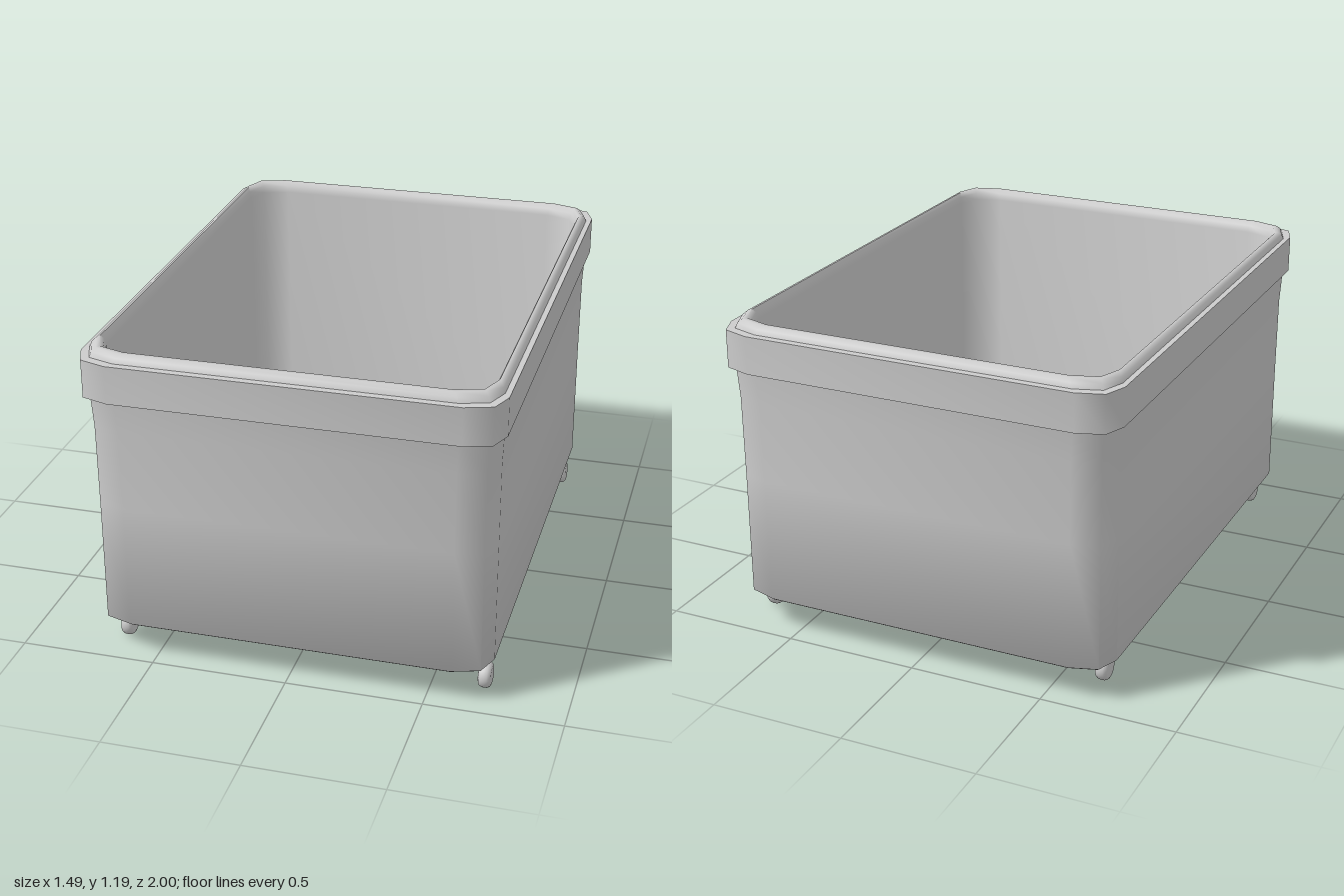
import * as THREE from 'three';
import { toCreasedNormals } from 'three/addons/utils/BufferGeometryUtils.js';

const material = new THREE.MeshStandardMaterial({ color: 0xcccccc });

// Rectangle with two-facet corners, walked from +x towards +z
function ring(hx, hz, y) {
  const cx = hx ? 0.13 : 0, cz = hz ? 0.115 : 0;
  const corner = [[hx, hz - cz], [hx - 0.25 * cx, hz - 0.27 * cz], [hx - cx, hz]];
  const points = [];
  for (const [sx, sz] of [[1, 1], [-1, 1], [-1, -1], [1, -1]]) {
    const ordered = sx * sz > 0 ? corner : [...corner].reverse();
    for (const [x, z] of ordered) points.push([sx * x, y, sz * z]);
  }
  return points;
}

// Skin neighbouring rings; a ring of zero size closes the surface
function loft(sections) {
  const rings = sections.map((s) => ring(...s));
  const positions = [];
  for (let i = 0; i < rings.length - 1; i++) {
    const a = rings[i], b = rings[i + 1], n = a.length;
    for (let j = 0; j < n; j++) {
      const k = (j + 1) % n;
      if (sections[i + 1][0]) positions.push(...a[j], ...b[j], ...b[k]);
      if (sections[i][0]) positions.push(...a[j], ...b[k], ...a[k]);
    }
  }
  const geometry = new THREE.BufferGeometry();
  geometry.setAttribute('position', new THREE.Float32BufferAttribute(positions, 3));
  return toCreasedNormals(geometry, 0.95);
}

export function createModel() {
  const group = new THREE.Group();

  // Hollow tub: underside, outer wall, overhanging rim, bead, inner wall, floor
  const tub = new THREE.Mesh(loft([
    [0, 0, 0.125],
    [0.717, 0.96, 0.125],
    [0.723, 0.966, 0.131],
    [0.723, 0.966, 0.6],
    [0.724, 0.968, 0.9],
    [0.73, 0.975, 1.02],
    [0.746, 1.0, 1.02],
    [0.746, 1.0, 1.16],
    [0.726, 0.972, 1.16],
    [0.72, 0.965, 1.178],
    [0.708, 0.95, 1.19],
    [0.7, 0.935, 1.19],
    [0.692, 0.922, 1.175],
    [0.686, 0.914, 1.15],
    [0.683, 0.91, 0.22],
    [0.676, 0.902, 0.19],
    [0.65, 0.875, 0.17],
    [0, 0, 0.17],
  ]), material);
  tub.name = 'tub';
  group.add(tub);

  // Four small wheels with rounded treads, axles along x
  const profile = [
    [0, -0.023], [0.033, -0.023], [0.042, -0.019], [0.047, -0.01],
    [0.048, 0], [0.047, 0.01], [0.042, 0.019], [0.033, 0.023], [0, 0.023],
  ].map(([r, h]) => new THREE.Vector2(r, h));
  const wheelGeometry = new THREE.LatheGeometry(profile, 24).rotateZ(Math.PI / 2);
  for (const [x, side] of [[0.69, 'Left'], [-0.65, 'Right']]) {
    for (const [z, end] of [[0.83, 'front'], [-0.78, 'back']]) {
      const wheel = new THREE.Mesh(wheelGeometry, material);
      wheel.position.set(x, 0.05, z);
      wheel.name = `${end}${side}Wheel`;
      group.add(wheel);
    }
  }
  group.position.y = -0.002;
  return group;
}
